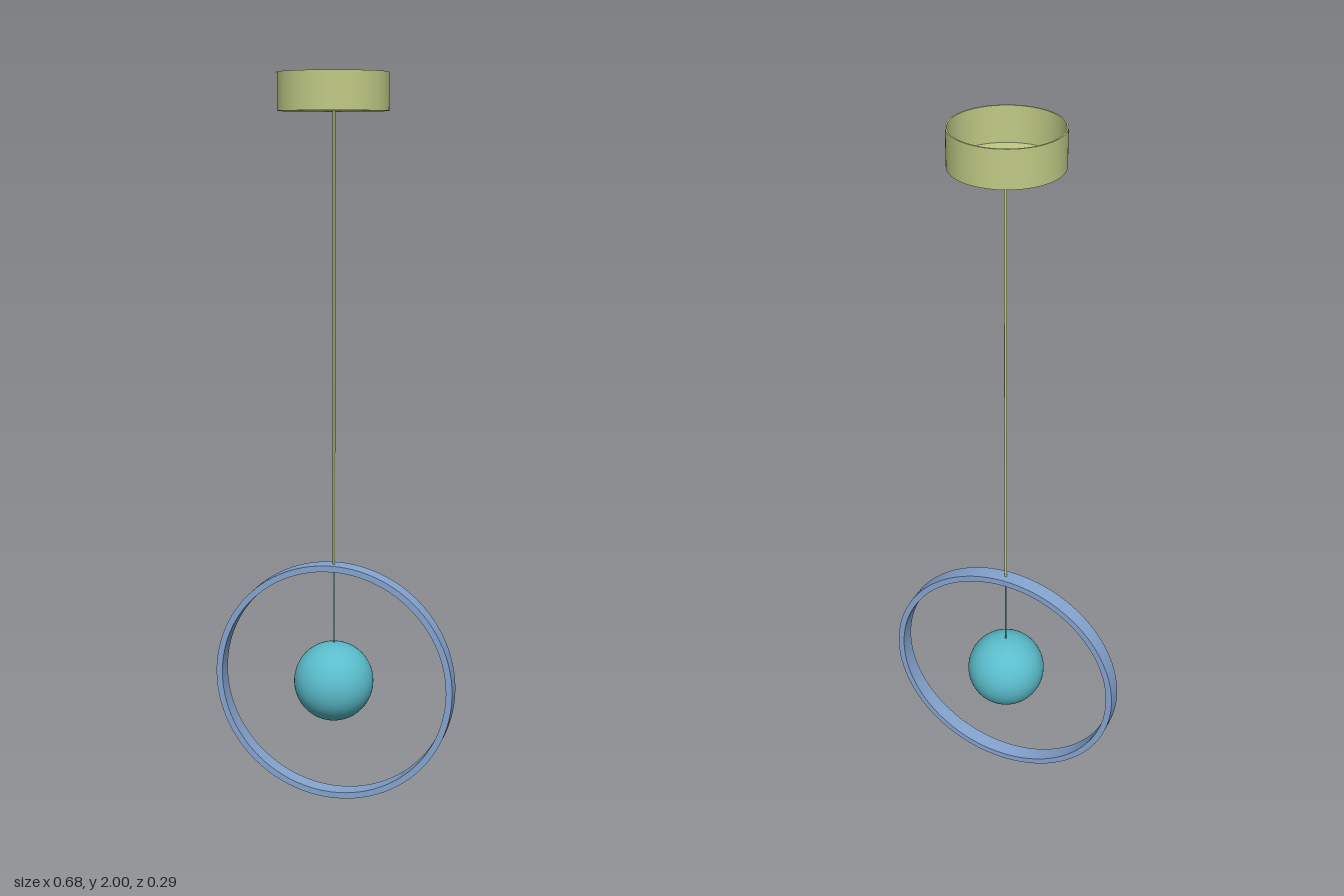
import * as THREE from 'three';

export function createModel() {
  const model = new THREE.Group();
  const material = (name, color) => {
    const m = new THREE.MeshStandardMaterial({ color });
    m.name = name;
    return m;
  };
  const olive = material('olive', 0xc1cb86);
  const blue = material('blue', 0x86a5d0);
  const teal = material('teal', 0x5abccb);

  const add = (name, geometry, mat, y, z) => {
    const mesh = new THREE.Mesh(geometry, mat);
    mesh.name = name;
    mesh.position.set(0, y, z);
    model.add(mesh);
    return mesh;
  };

  // Solid of revolution with sharp corners: each profile edge is its own lathe
  const addTurned = (name, profile, mat, y, z) => {
    const group = new THREE.Group();
    group.name = name;
    group.position.set(0, y, z);
    for (let i = 0; i < profile.length - 1; i++) {
      const edge = [profile[i], profile[i + 1]].map(([r, h]) => new THREE.Vector2(r, h));
      const face = new THREE.Mesh(new THREE.LatheGeometry(edge, 96), mat);
      face.name = name + 'Face';
      group.add(face);
    }
    model.add(group);
    return group;
  };

  const hangZ = -0.008;
  const ringY = 0.3415;

  // Ceiling cup, open at the top with a thin wall
  addTurned('canopy', [[0, 0], [0.145, 0], [0.145, 0.098], [0.141, 0.098], [0.141, 0.004], [0, 0.004]],
    olive, 1.902, 0);

  // Cable down to the ring, then a thinner one to the ball
  add('upperCable', new THREE.CylinderGeometry(0.0035, 0.0035, 1.227, 16), olive, 1.2925, hangZ);
  add('lowerCable', new THREE.CylinderGeometry(0.002, 0.002, 0.24, 12), teal, 0.56, hangZ);

  // Flat band standing upright around the ball
  const ring = addTurned('ring',
    [[0.324, -0.023], [0.3415, -0.023], [0.3415, 0.023], [0.324, 0.023], [0.324, -0.023]],
    blue, ringY, hangZ - 0.001);
  ring.rotation.x = Math.PI / 2;

  // Hanging ball
  add('ball', new THREE.SphereGeometry(0.111, 64, 40), teal, 0.345, hangZ + 0.002);

  return model;
}
